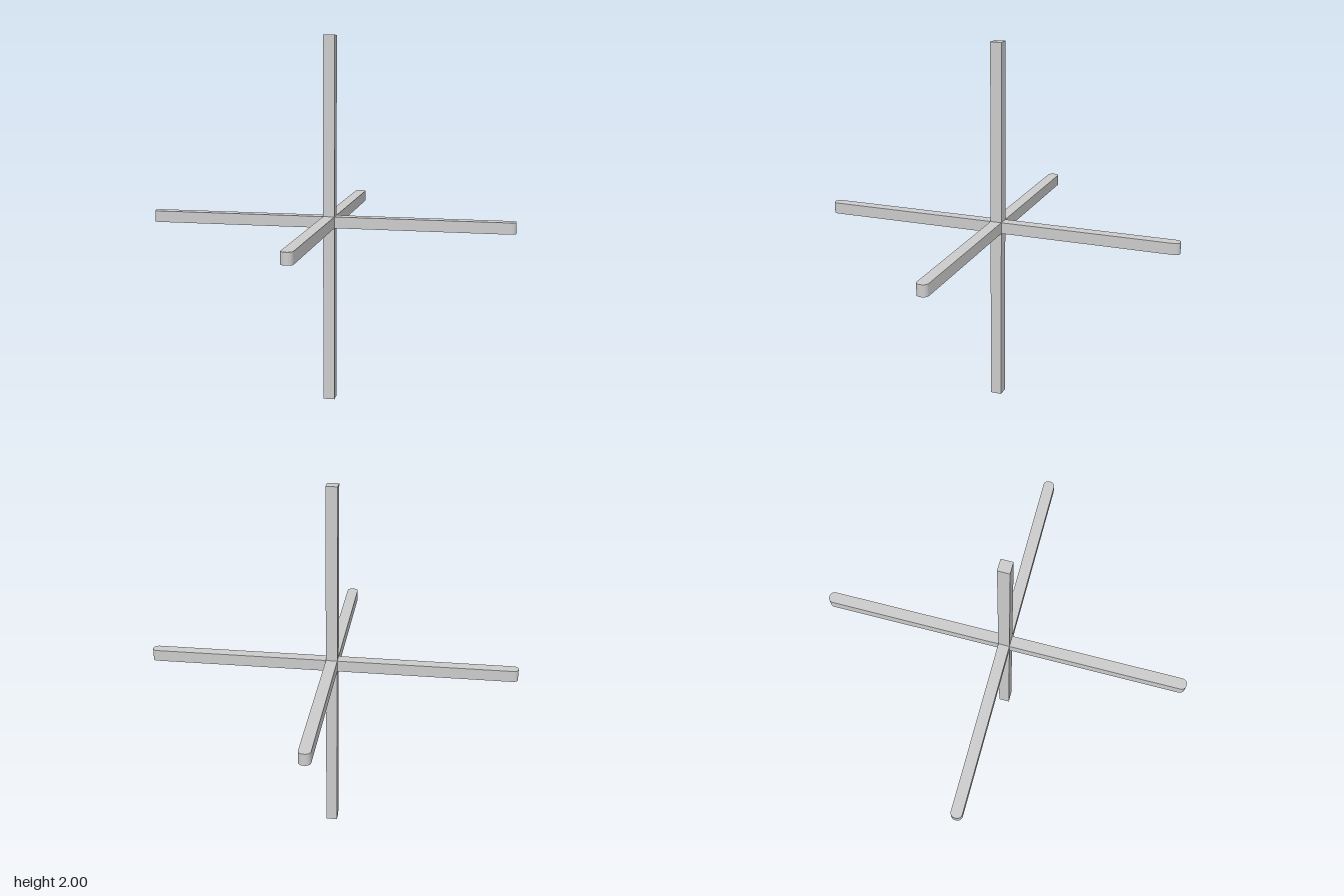
import * as THREE from 'three';
import { toCreasedNormals } from 'three/addons/utils/BufferGeometryUtils.js';

const WIDTH = 0.062;
const HALF = WIDTH / 2;
const END_RADIUS = 0.028;

// Flat bar along x, with its ends rounded in plan
function roundedBarGeometry() {
  const r = END_RADIUS;
  const s = new THREE.Shape();
  s.moveTo(-1 + r, -HALF);
  s.lineTo(1 - r, -HALF);
  s.absarc(1 - r, -HALF + r, r, -Math.PI / 2, 0);
  s.absarc(1 - r, HALF - r, r, 0, Math.PI / 2);
  s.lineTo(-1 + r, HALF);
  s.absarc(-1 + r, HALF - r, r, Math.PI / 2, Math.PI);
  s.absarc(-1 + r, -HALF + r, r, Math.PI, Math.PI * 1.5);
  const g = new THREE.ExtrudeGeometry(s, { depth: WIDTH, bevelEnabled: false, curveSegments: 10 });
  g.translate(0, 0, -HALF);
  g.rotateX(-Math.PI / 2);
  return toCreasedNormals(g, Math.PI / 5);
}

export function createModel() {
  const group = new THREE.Group();
  group.name = 'axisCross';
  const material = new THREE.MeshStandardMaterial({ color: 0xcccccc });

  // Upright square post
  const post = new THREE.Mesh(new THREE.BoxGeometry(WIDTH, 2, WIDTH), material);
  post.name = 'verticalPost';
  post.position.y = 1;
  group.add(post);

  // Two crossing horizontal bars at mid height
  const barGeometry = roundedBarGeometry();
  ['sidewaysBar', 'frontToBackBar'].forEach((name, i) => {
    const bar = new THREE.Mesh(barGeometry, material);
    bar.name = name;
    bar.position.y = 1;
    bar.rotation.y = i * Math.PI / 2;
    group.add(bar);
  });

  return group;
}
